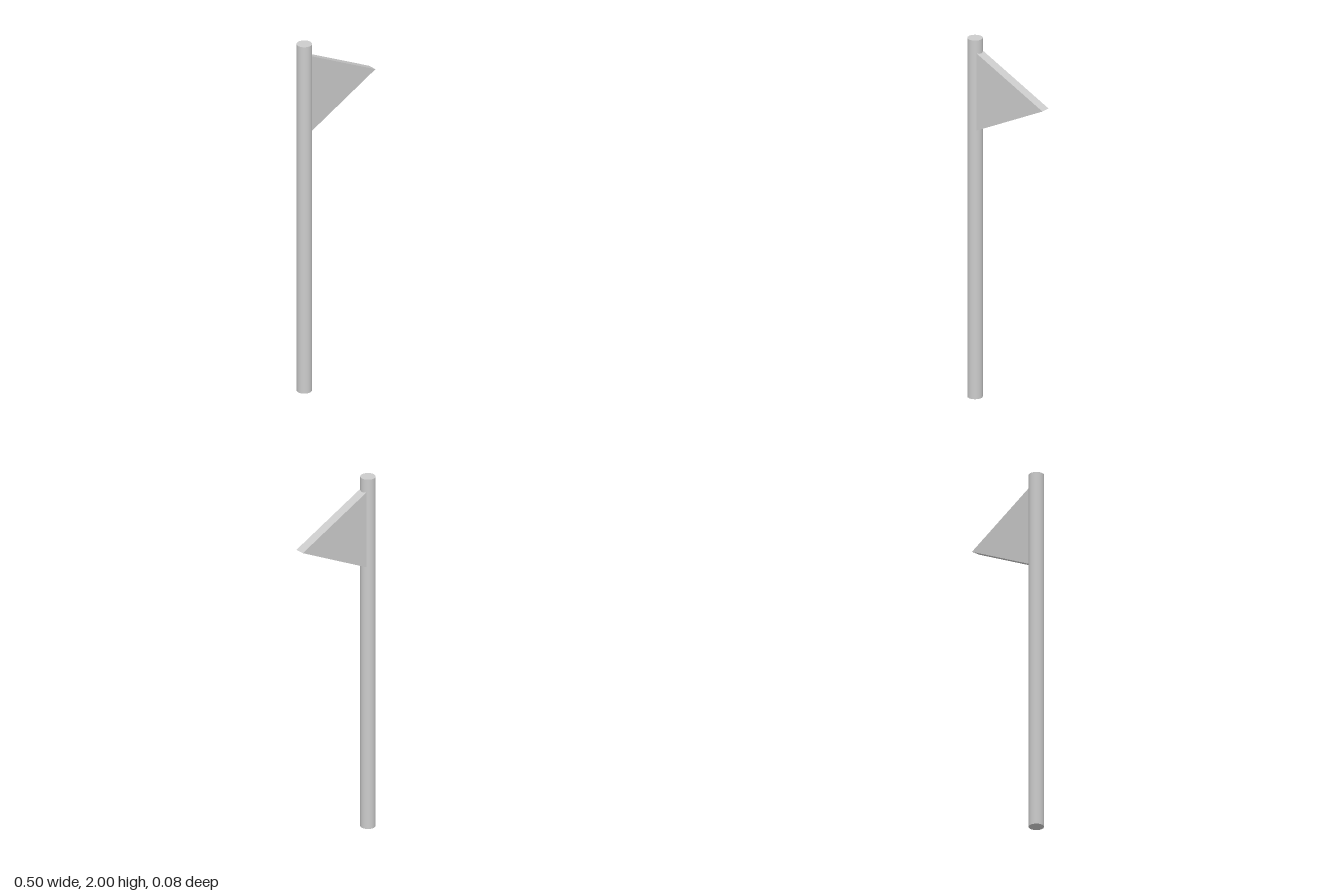
import * as THREE from 'three';

export function createModel() {
  const model = new THREE.Group();
  const material = new THREE.MeshStandardMaterial({ color: 0xcccccc });
  const poleX = -0.21;

  // Tall round pole
  const pole = new THREE.Mesh(new THREE.CylinderGeometry(0.04, 0.04, 2, 32), material);
  pole.name = 'pole';
  pole.position.set(poleX, 1, 0);
  model.add(pole);

  // Thick triangular pennant, its base sunk into the pole
  const length = 0.46, halfHeight = 0.23, depth = 0.052;
  const triangle = new THREE.Shape([
    new THREE.Vector2(0, -halfHeight),
    new THREE.Vector2(length, 0),
    new THREE.Vector2(0, halfHeight),
  ]);
  const flag = new THREE.Mesh(
    new THREE.ExtrudeGeometry(triangle, { depth, bevelEnabled: false }),
    material
  );
  flag.name = 'flag';
  flag.position.set(poleX, 1.713, -depth / 2);
  model.add(flag);

  return model;
}
